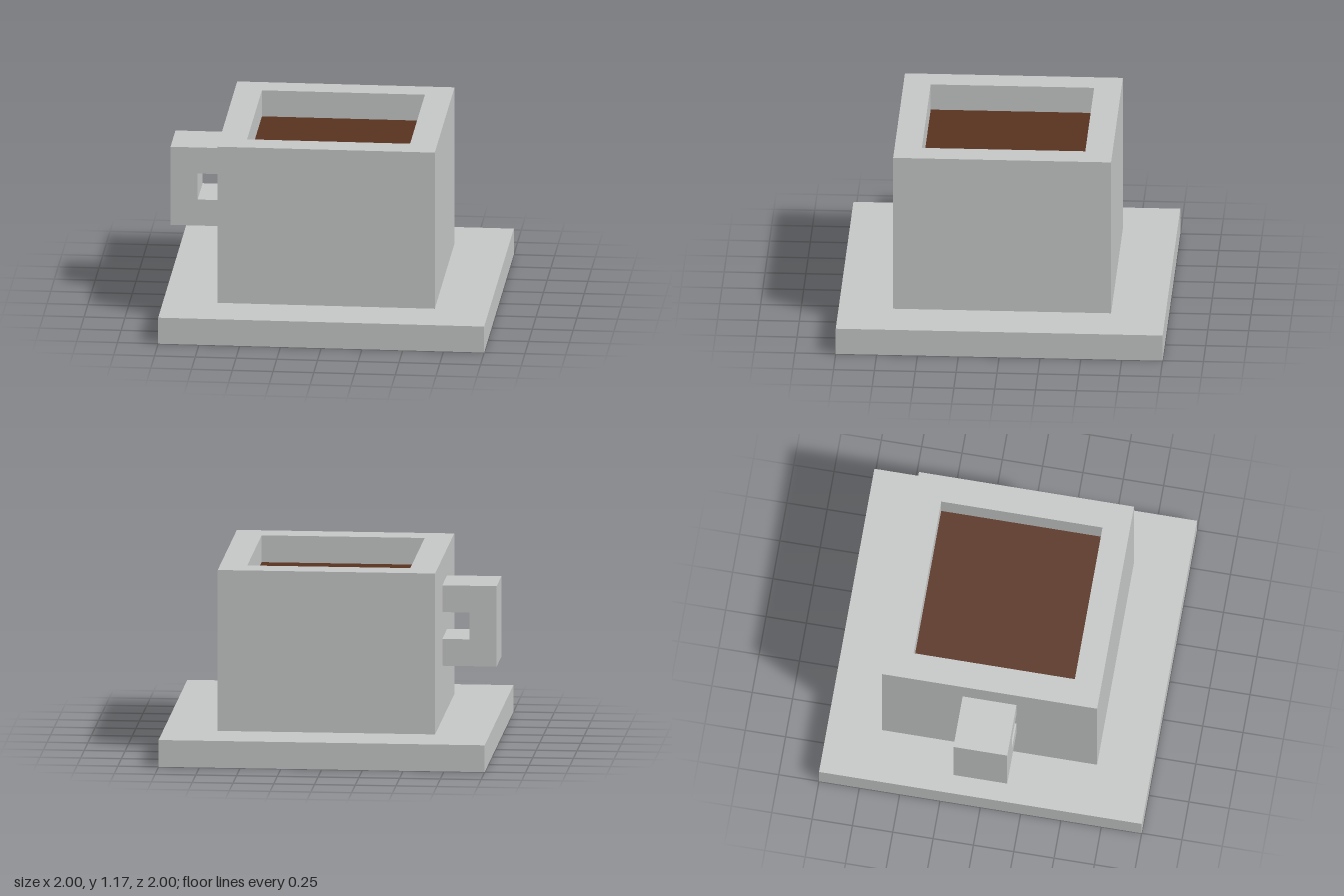
import * as THREE from 'three';

// Every size is a multiple of one sixth of a unit
const U = 1 / 6;

const polygon = (points, Type = THREE.Shape) =>
  new Type(points.map(([x, y]) => new THREE.Vector2(x * U, y * U)));

const square = (h, Type) => polygon([[-h, -h], [h, -h], [h, h], [-h, h]], Type);

const extrude = (shape, depth) =>
  new THREE.ExtrudeGeometry(shape, { depth: depth * U, bevelEnabled: false });

export function createModel() {
  const ceramic = new THREE.MeshStandardMaterial({ color: 0xc8cac9 });
  ceramic.name = 'ceramic';
  const coffeeBrown = new THREE.MeshStandardMaterial({ color: 0x5a3320 });
  coffeeBrown.name = 'coffeeBrown';

  const model = new THREE.Group();
  model.name = 'cupAndSaucer';
  const add = (name, geometry, material) => {
    const mesh = new THREE.Mesh(geometry, material);
    mesh.name = name;
    model.add(mesh);
  };

  // Square saucer
  add('saucer', new THREE.BoxGeometry(12 * U, U, 12 * U).translate(0, U / 2, 0), ceramic);

  // Cup walls: a hollow square standing on the saucer
  const wall = square(4);
  wall.holes.push(square(3, THREE.Path));
  add('cupWalls', extrude(wall, 6).rotateX(-Math.PI / 2).translate(0, U, 0), ceramic);

  // Coffee surface, one wall thickness below the rim
  add('coffee', new THREE.PlaneGeometry(6 * U, 6 * U).rotateX(-Math.PI / 2).translate(0, 6 * U, 0), coffeeBrown);

  // C-shaped handle on the right side
  const handle = polygon([[-4, 3], [-4, 4], [-5, 4], [-5, 5], [-4, 5], [-4, 6], [-6, 6], [-6, 3]]);
  add('handle', extrude(handle, 2).translate(0, 0, -U), ceramic);

  return model;
}
